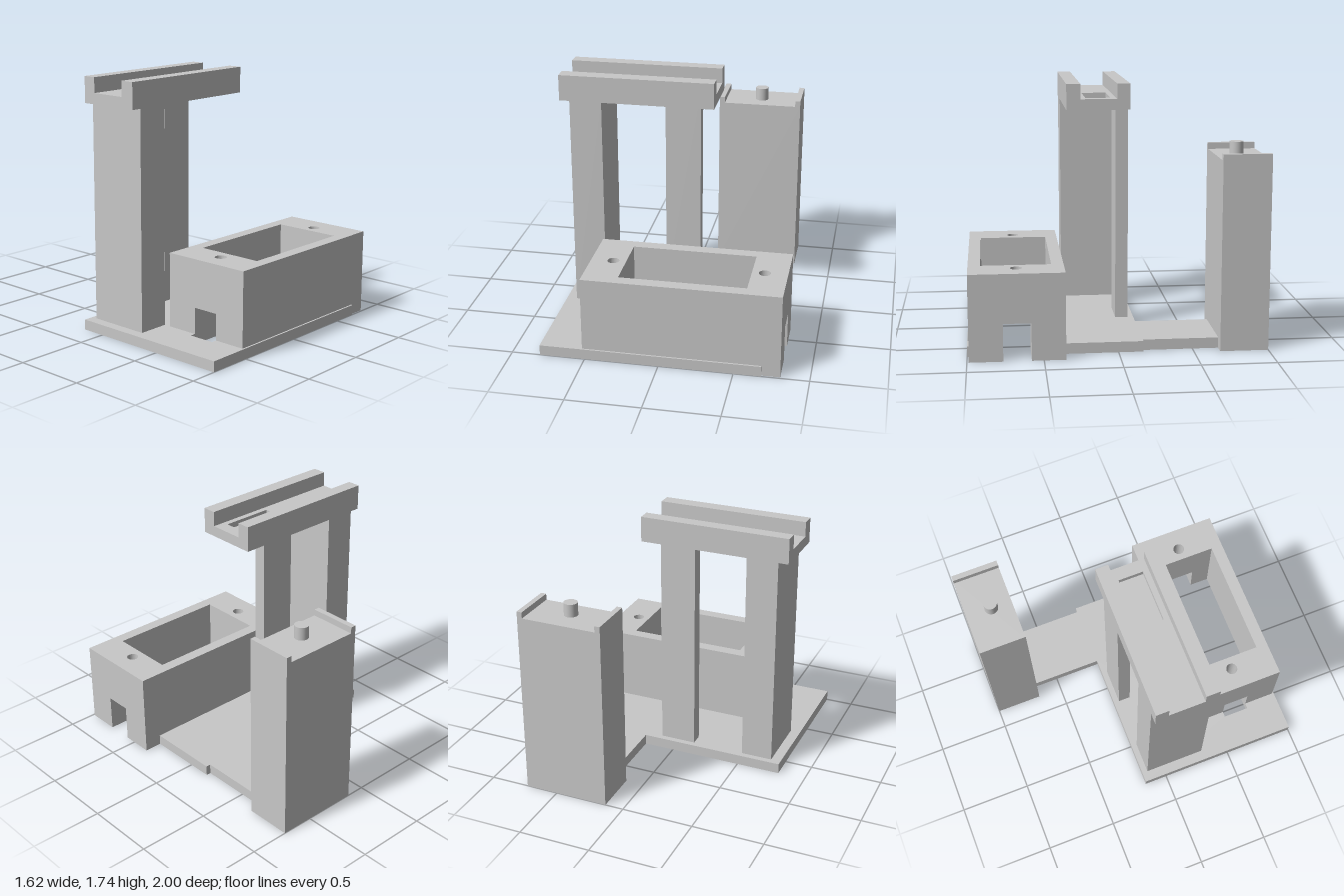
import * as THREE from 'three';

export function createModel() {
  const model = new THREE.Group();
  const grey = new THREE.MeshStandardMaterial({ color: 0xc8c8c8 });
  grey.name = 'plain grey';

  function add(parent, name, geometry) {
    const mesh = new THREE.Mesh(geometry, grey);
    mesh.name = name;
    parent.add(mesh);
    return mesh;
  }

  function group(name) {
    const g = new THREE.Group();
    g.name = name;
    model.add(g);
    return g;
  }

  // Box given by its limits on each axis
  function block(parent, name, [x0, x1], [y0, y1], [z0, z1]) {
    const geo = new THREE.BoxGeometry(x1 - x0, y1 - y0, z1 - z0);
    geo.translate((x0 + x1) / 2, (y0 + y1) / 2, (z0 + z1) / 2);
    return add(parent, name, geo);
  }

  // Floor-plan outline in (x, z), raised from y0 to y1; rectangles run anticlockwise
  const plan = (pts) => pts.map(([x, z]) => new THREE.Vector2(x, -z));
  const rect = (x0, x1, z0, z1) => plan([[x0, z0], [x0, z1], [x1, z1], [x1, z0]]);
  function slab(parent, name, outline, holes, y0, y1) {
    const shape = new THREE.Shape(outline);
    shape.holes.push(...holes);
    const geo = new THREE.ExtrudeGeometry(shape, { depth: y1 - y0, bevelEnabled: false, curveSegments: 24 });
    geo.rotateX(-Math.PI / 2);
    geo.translate(0, y0, 0);
    return add(parent, name, geo);
  }

  // Shared sizes: plate thickness, motor window, cable tunnel
  const plateTop = 0.072;
  const wx0 = -0.28, wx1 = 0.568, wz0 = 0.438, wz1 = 0.905;
  const tz0 = 0.58, tz1 = 0.765, tunnelTop = 0.253;

  // Base plate with rear arm; window and tunnel cut in from the right edge
  slab(model, 'basePlate', plan([
    [-0.808, 1], [-0.808, -0.165], [0.214, -0.165], [0.214, -0.677], [0.65, -0.677],
    [0.65, -0.165], [0.683, -0.165], [0.683, tz0], [wx1, tz0], [wx1, wz0],
    [wx0, wz0], [wx0, tz0], [-0.557, tz0], [-0.557, tz1], [wx0, tz1],
    [wx0, wz1], [wx1, wz1], [wx1, tz1], [0.683, tz1], [0.683, 1],
  ]), [], 0, plateTop);

  // Motor box: two U-shaped feet beside the tunnel, a ring, and a rim with screw holes
  const box = group('motorBox');
  const bx0 = -0.518, bx1 = 0.807, bz0 = 0.356, bz1 = 0.988;
  const foot = (outer, inner, tunnel) => plan([
    [bx0, outer], [bx1, outer], [bx1, tunnel], [wx1, tunnel],
    [wx1, inner], [wx0, inner], [wx0, tunnel], [bx0, tunnel],
  ]);
  slab(box, 'frontFoot', foot(bz1, wz1, tz1), [], 0, tunnelTop);
  slab(box, 'backFoot', foot(bz0, wz0, tz0), [], 0, tunnelTop);
  const outer = rect(bx0, bx1, bz0, bz1);
  const windowHole = () => new THREE.Path(rect(wx0, wx1, wz0, wz1));
  slab(box, 'boxWalls', outer, [windowHole()], tunnelTop, 0.35);
  const screwHoles = [-0.368, 0.653].map((x) => new THREE.Path().absarc(x, -0.672, 0.04, 0, Math.PI * 2));
  slab(box, 'boxRim', outer, [windowHole(), ...screwHoles], 0.35, 0.584);

  // Gantry: deep and thin pillars carrying a channelled beam with a shallow pocket
  const gantry = group('gantry');
  const bottom = 1.566, pocketFloor = 1.6, channelFloor = 1.64, top = 1.743;
  const beamX = [-0.808, 0.246], back = -0.125, front = 0.31;
  block(gantry, 'deepPillar', [-0.738, -0.518], [plateTop, bottom], [back, front]);
  block(gantry, 'thinPillar', [-0.15, 0.1], [plateTop, bottom], [back, -0.037]);
  block(gantry, 'beamUnderside', beamX, [bottom, pocketFloor], [back, front]);
  const pocket = new THREE.Path(rect(-0.2, 0.16, 0.002, 0.175));
  slab(gantry, 'beamFloor', rect(...beamX, back, front), [pocket], pocketFloor, channelFloor);
  block(gantry, 'beamBackRail', beamX, [channelFloor, top], [back, -0.035]);
  block(gantry, 'beamFrontRail', beamX, [channelFloor, top], [0.214, front]);

  // Rear tower with two side lips and a peg
  const tower = group('tower');
  const towerZ = [-1, -0.675];
  block(tower, 'towerBody', [0.13, 0.727], [0, 1.28], towerZ);
  block(tower, 'rightLip', [0.13, 0.168], [1.28, 1.323], towerZ);
  block(tower, 'leftLip', [0.69, 0.727], [1.28, 1.323], towerZ);
  const peg = new THREE.CylinderGeometry(0.047, 0.047, 0.09, 32);
  add(tower, 'peg', peg).position.set(0.428, 1.324, -0.82);

  return model;
}
